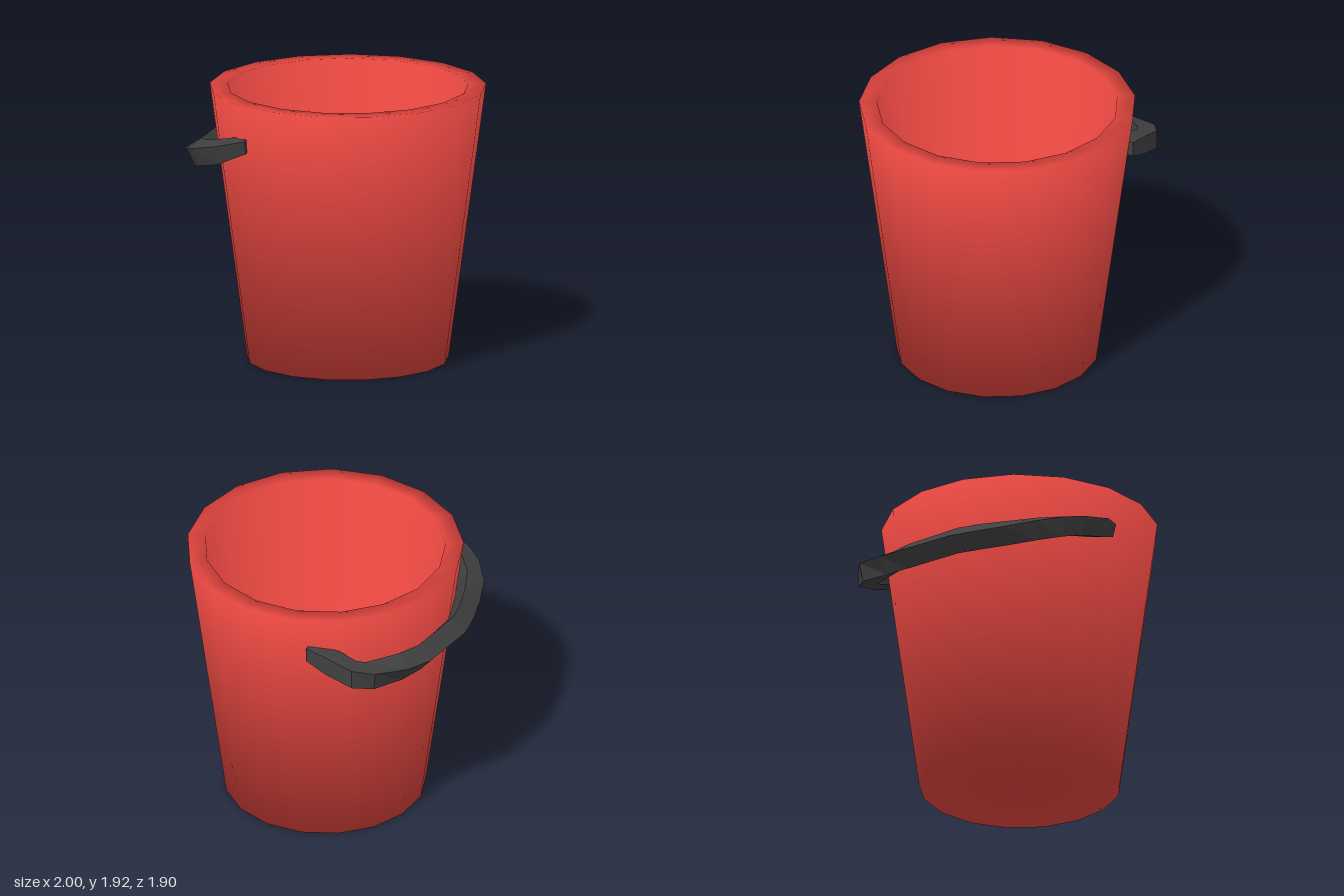
import * as THREE from 'three';

// Flat-shaded square bar swept along [x, y, z, scale, twist in degrees] stations
function squareBar(stations, radius) {
  const last = stations.length - 1;
  const rings = stations.map(([x, y, z, scale, twist], i) => {
    const a = stations[Math.max(i - 1, 0)], b = stations[Math.min(i + 1, last)];
    const out = new THREE.Vector3(b[2] - a[2], 0, a[0] - b[0]).normalize();
    return [0, 90, 180, 270].map((corner) => {
      const angle = THREE.MathUtils.degToRad(corner + twist);
      const p = new THREE.Vector3(x, y, z).addScaledVector(out, radius * scale * Math.cos(angle));
      p.y += radius * scale * Math.sin(angle);
      return p;
    });
  });
  const pts = [];
  const quad = (a, b, c, d) => pts.push(a, b, c, a, c, d);
  for (let i = 0; i < last; i++) {
    for (let j = 0; j < 4; j++) {
      const k = (j + 1) % 4;
      quad(rings[i][j], rings[i][k], rings[i + 1][k], rings[i + 1][j]);
    }
  }
  quad(...[...rings[0]].reverse());
  quad(...rings[last]);
  const geometry = new THREE.BufferGeometry().setFromPoints(pts);
  geometry.computeVertexNormals();
  return geometry;
}

// Lathe from [radius, y, normal out, normal up] points, softly shaded over its edges
function softLathe(profile, sides) {
  const geometry = new THREE.LatheGeometry(profile.map(([r, y]) => new THREE.Vector2(r, y)), sides);
  const normal = geometry.attributes.normal;
  for (let i = 0; i < normal.count; i++) {
    const [, , out, up] = profile[i % profile.length];
    const turn = (Math.floor(i / profile.length) / sides) * Math.PI * 2;
    normal.setXYZ(i, out * Math.sin(turn), up, out * Math.cos(turn));
  }
  return geometry;
}

export function createModel() {
  const group = new THREE.Group();
  group.name = 'bucket';

  // Tapered shell: underside, outer wall, rim, inner wall and floor
  const profile = [
    [0, 0, 0, -1], [0.698, 0, 0.66, -0.75], [0.956, 1.92, 0.75, 0.66],
    [0.832, 1.92, -0.66, 0.75], [0.577, 0.1, -0.66, 0.75], [0, 0.1, 0, 1],
  ];
  const shell = new THREE.Mesh(
    softLathe(profile, 17),
    new THREE.MeshStandardMaterial({ color: 0xe0443e })
  );
  shell.name = 'bucketShell';
  shell.position.set(0.044, 0, -0.014);
  group.add(shell);

  // Handle swung down to one side, both ends sinking into the wall
  const path = [
    [-0.23, 1.635, 0.835, 0.7, 30], [-0.42, 1.57, 0.865, 1, 30], [-0.6, 1.525, 0.8, 1, 25],
    [-0.69, 1.5, 0.73, 1, 20], [-0.785, 1.475, 0.585, 1, 12], [-0.845, 1.465, 0.38, 1, 5],
    [-0.885, 1.465, 0.19, 1, 0], [-0.905, 1.465, 0.03, 1, 0], [-0.84, 1.47, -0.4, 1, 5],
    [-0.775, 1.485, -0.58, 1, 15], [-0.65, 1.515, -0.81, 1, 35], [-0.56, 1.54, -0.875, 1, 45],
    [-0.38, 1.595, -0.87, 1, 45], [-0.22, 1.635, -0.865, 0.75, 45],
  ];
  const handle = new THREE.Mesh(
    squareBar(path, 0.097),
    new THREE.MeshStandardMaterial({ color: 0x404040, flatShading: true })
  );
  handle.name = 'handle';
  group.add(handle);

  return group;
}
